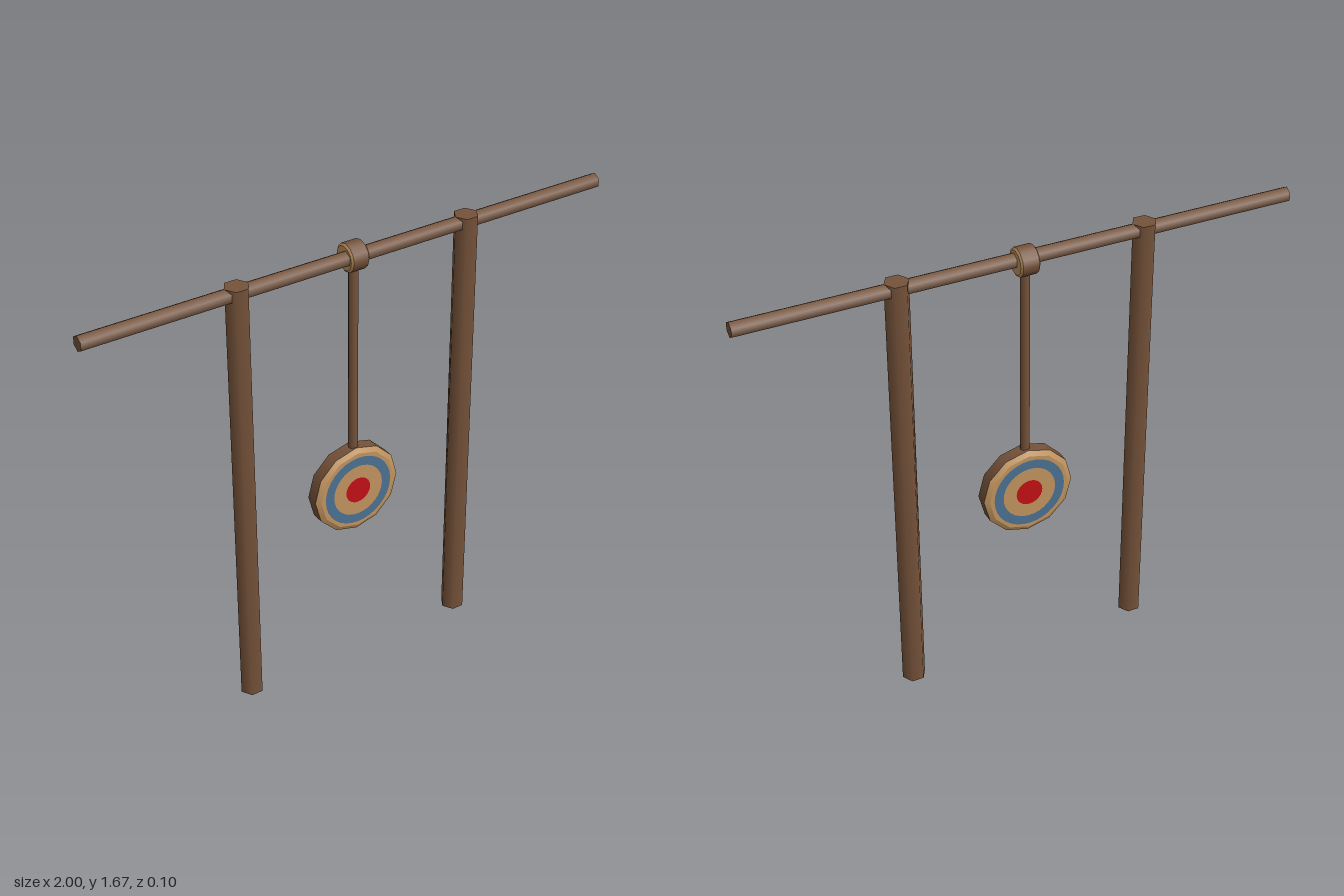
import * as THREE from 'three';

export function createModel() {
  const mat = (name, color) => {
    const m = new THREE.MeshStandardMaterial({ color });
    m.name = name;
    return m;
  };
  const wood = mat('brown wood', 0x76533a);
  const tan = mat('tan wood', 0xc0935f);
  const blue = mat('blue paint', 0x4a7090);
  const red = mat('red paint', 0xc01015);

  const model = new THREE.Group();
  model.name = 'hangingTarget';
  const add = (parent, name, geometry, material, x = 0, y = 0, z = 0) => {
    const mesh = new THREE.Mesh(geometry, material);
    mesh.name = name;
    mesh.position.set(x, y, z);
    parent.add(mesh);
    return mesh;
  };

  // Chamfered wooden disc along z: brown rim, tan bevels and faces
  const disc = (name, r, depth, inset, bevel, sides) => {
    const group = new THREE.Group();
    group.name = name;
    const rimDepth = depth - 2 * bevel;
    add(group, name + 'Rim',
      new THREE.CylinderGeometry(r, r, rimDepth, sides, 1, true).rotateX(Math.PI / 2), wood);
    for (const turn of [0, Math.PI]) {
      const side = new THREE.Group();
      side.name = turn ? name + 'Back' : name + 'Front';
      side.rotation.y = turn;
      add(side, name + 'Bevel',
        new THREE.CylinderGeometry(r - inset, r, bevel, sides, 1, true).rotateX(Math.PI / 2),
        tan, 0, 0, rimDepth / 2 + bevel / 2);
      add(side, name + 'Face', new THREE.CircleGeometry(r - inset, sides), tan, 0, 0, depth / 2);
      group.add(side);
    }
    model.add(group);
    return group;
  };

  // Two hexagonal posts
  for (const s of [-1, 1]) {
    add(model, s > 0 ? 'leftPost' : 'rightPost',
      new THREE.CylinderGeometry(0.0435, 0.0435, 1.65, 6).rotateY(Math.PI / 2),
      wood, s * 0.445, 0.825, 0.011);
  }

  // Hexagonal crossbar
  add(model, 'crossbar',
    new THREE.CylinderGeometry(0.028, 0.028, 2, 6).rotateY(Math.PI / 2).rotateZ(Math.PI / 2),
    wood, 0, 1.623, 0.01);

  // Collar around the crossbar
  const collar = disc('collar', 0.051, 0.07, 0.008, 0.006, 12);
  collar.rotation.y = Math.PI / 2;
  collar.position.set(0, 1.62, 0);

  // Hanging rod
  add(model, 'hangingRod', new THREE.CylinderGeometry(0.0175, 0.0175, 0.74, 8), wood, 0, 1.22, 0);

  // Target with painted rings on both faces
  const target = disc('target', 0.17, 0.066, 0.018, 0.01, 12);
  target.position.set(0, 0.71, -0.002);
  for (const side of target.children.filter((c) => c.isGroup)) {
    add(side, 'blueRing', new THREE.RingGeometry(0.1, 0.135, 32), blue, 0, 0, 0.035);
    add(side, 'bullseye', new THREE.CircleGeometry(0.05, 24), red, 0, 0, 0.035);
  }

  return model;
}
